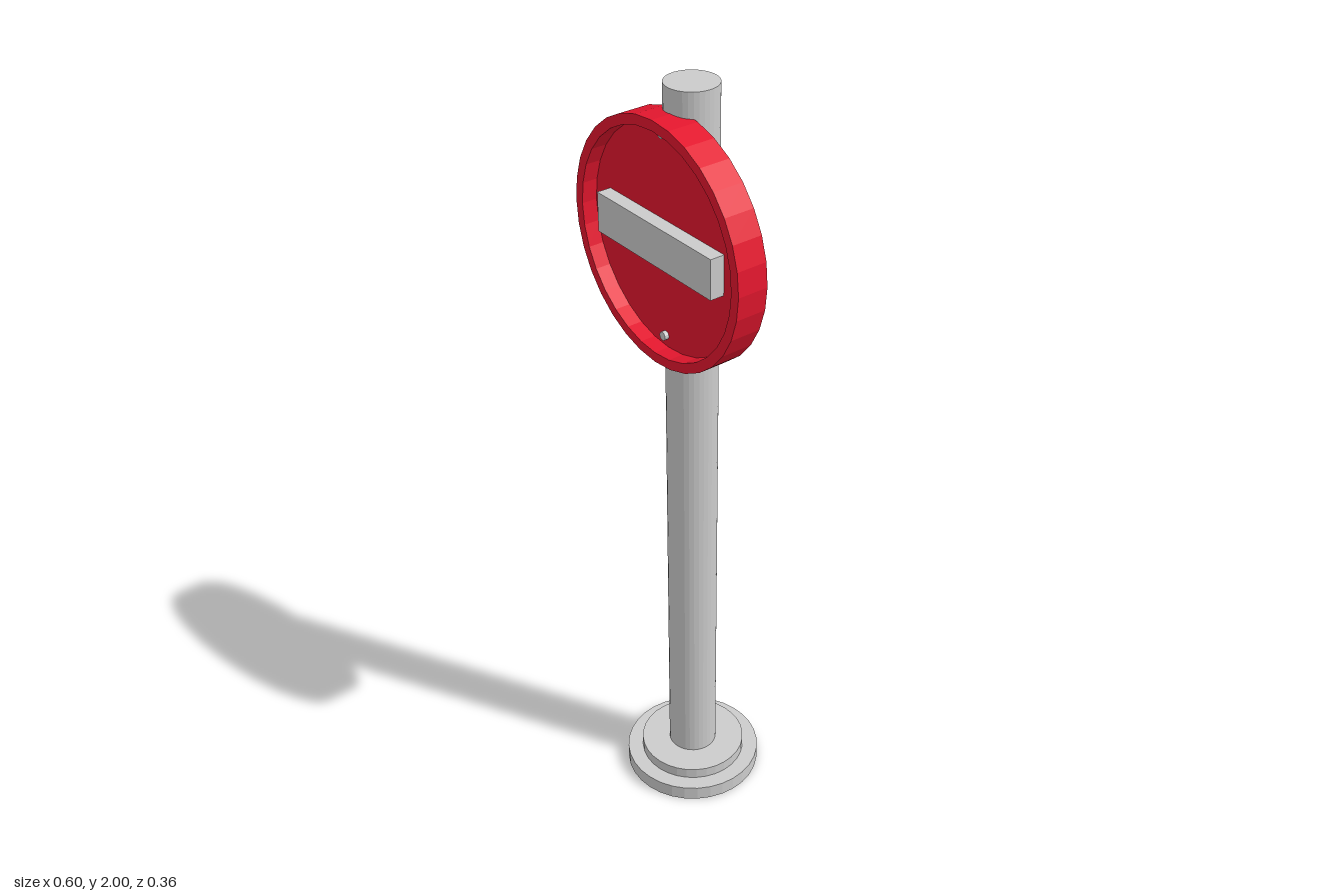
import * as THREE from 'three';

const SIDES = 32;

function material(color, extra = {}) {
  return new THREE.MeshStandardMaterial({ color, flatShading: true, ...extra });
}

function lathe(points) {
  return new THREE.LatheGeometry(points.map(([r, y]) => new THREE.Vector2(r, y)), SIDES);
}

export function createModel() {
  const group = new THREE.Group();
  const grey = material(0xcccccc);
  const greyShell = material(0xcccccc, { side: THREE.DoubleSide });
  const red = material(0xe4172e);

  const add = (name, geometry, mat, x, y, z) => {
    const mesh = new THREE.Mesh(geometry, mat);
    mesh.name = name;
    mesh.position.set(x, y, z);
    group.add(mesh);
    return mesh;
  };

  // Stepped foot, hollow underneath
  add('base', lathe([[0.181, 0], [0.181, 0.04], [0.14, 0.04], [0.14, 0.07], [0, 0.07]]),
    greyShell, -0.005, 0, 0);

  // Post, ending just inside the foot and leaning very slightly
  const bottom = 0.055, top = 2;
  const post = add('post', new THREE.CylinderGeometry(0.064, 0.064, top - bottom, SIDES),
    grey, -0.0065, (top + bottom) / 2, 0);
  post.rotation.z = 0.001;

  // Round sign dish with a raised rim around a recessed face
  const signY = 1.642, faceZ = 0.075;
  const dish = add('signDisc', lathe([
    [0, 0.035], [0.301, 0.035], [0.301, 0.115], [0.276, 0.115], [0.276, faceZ], [0, faceZ],
  ]), red, 0, signY, 0);
  dish.rotation.x = Math.PI / 2;

  // Horizontal bar standing on the recessed face
  add('signBar', new THREE.BoxGeometry(0.42, 0.1, 0.04), grey, -0.008, signY, faceZ + 0.017);

  // Fixing bolts above and below the bar
  for (const y of [1.9, 1.395]) {
    const bolt = add('bolt', new THREE.CylinderGeometry(0.011, 0.011, 0.014, 12),
      grey, -0.009, y, faceZ + 0.004);
    bolt.rotation.x = Math.PI / 2;
  }

  return group;
}
